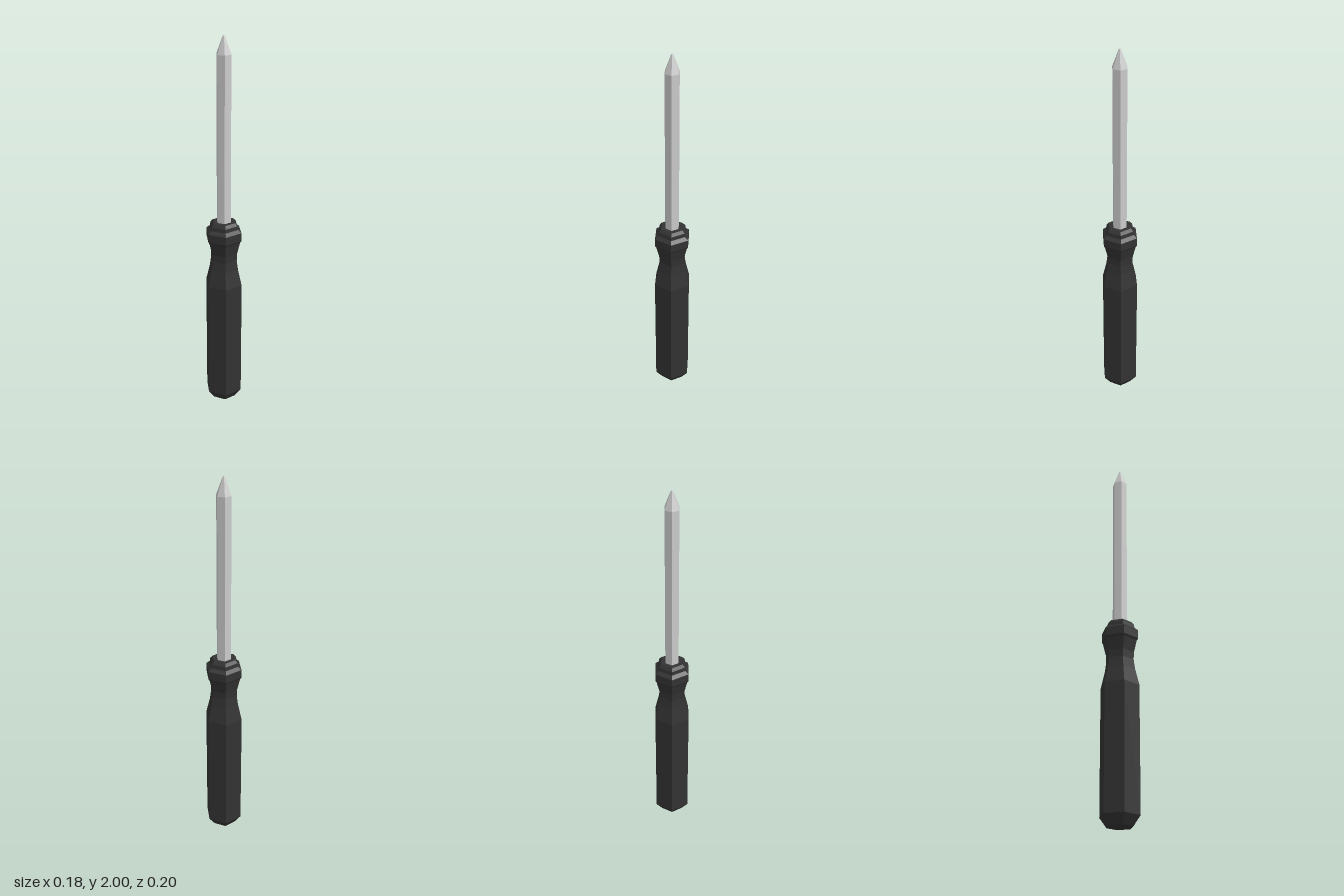
import * as THREE from 'three';

// Six-sided, flat-faceted turned part; profile is [radius, y] from bottom to top
function hexTurned(name, profile, material) {
  const points = profile.map(([r, y]) => new THREE.Vector2(r, y));
  const geometry = new THREE.LatheGeometry(points, 6).toNonIndexed();
  geometry.computeVertexNormals();
  const mesh = new THREE.Mesh(geometry, material);
  mesh.name = name;
  return mesh;
}

export function createModel() {
  const black = new THREE.MeshStandardMaterial({ color: 0x333333 });
  black.name = 'black grip';
  const steel = new THREE.MeshStandardMaterial({ color: 0xcccccc });
  steel.name = 'steel';

  const group = new THREE.Group();
  group.name = 'screwdriver';

  // Grip: chamfered butt, straight body, waist, collar
  group.add(hexTurned('handle', [
    [0, 0], [0.066, 0], [0.102, 0.05], [0.102, 0.7],
    [0.08, 0.79], [0.073, 0.84], [0.075, 0.88], [0.091, 0.945],
    [0.098, 0.955], [0.098, 1.0], [0.079, 1.015], [0.076, 1.035],
    [0.063, 1.05], [0, 1.05],
  ], black));

  // Blade: hexagonal rod
  group.add(hexTurned('shaft', [[0.039, 1.04], [0.039, 1.91]], steel));

  // Pointed end
  group.add(hexTurned('tip', [[0.039, 1.91], [0.005, 1.998], [0, 2]], steel));

  return group;
}
